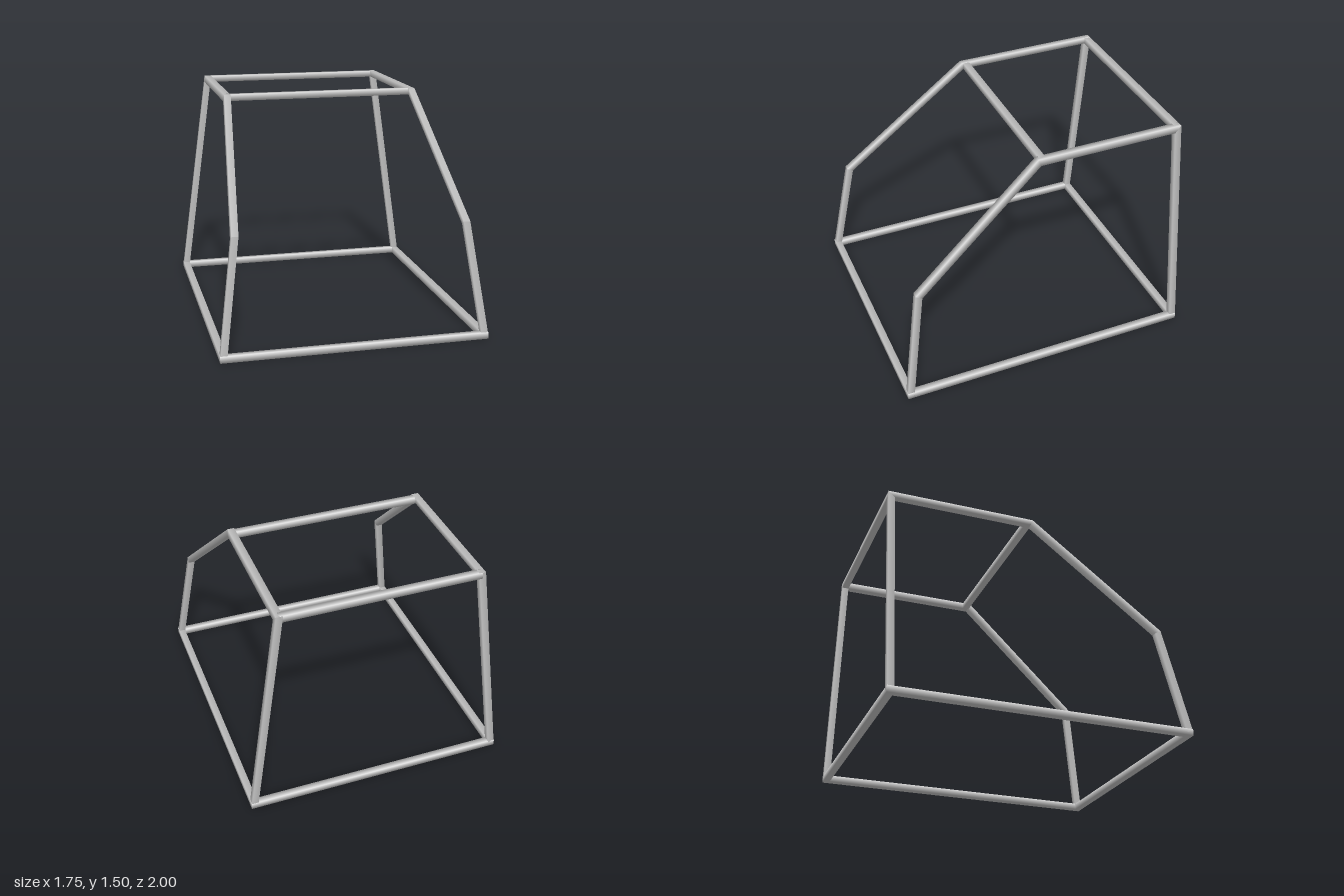
import * as THREE from 'three';

const R = 0.022; // half the thickness of a bar
const CORNERS = [[1, 1], [-1, 1], [-1, -1], [1, -1]];
const material = new THREE.MeshStandardMaterial({ color: 0xcccccc });
const v3 = (x, y, z) => new THREE.Vector3(x, y, z);
const perp = d => new THREE.Vector2(-d.y, d.x);

// Square bars along a flat path, mitred at every bend.
// place(a, b, k) puts path coordinates a, b and the offset k across the path plane into space.
function barRun(name, path, partNames, closed, place) {
  const pts = path.map(p => new THREE.Vector2(...p));
  const n = pts.length, count = closed ? n : n - 1;
  const dir = i => pts[(i + 1) % n].clone().sub(pts[i % n]).normalize();

  // The four corners of the cut at each point
  const rings = pts.map((p, i) => {
    const before = dir(!closed && i === 0 ? 0 : i + n - 1);
    const after = dir(!closed && i === n - 1 ? i - 1 : i);
    const mitre = perp(before.clone().add(after)).normalize();
    mitre.multiplyScalar(R / mitre.dot(perp(after)));
    return CORNERS.map(([m, k]) => place(p.x + m * mitre.x, p.y + m * mitre.y, k * R));
  });

  const group = new THREE.Group();
  group.name = name;
  for (let s = 0; s < count; s++) {
    const p = pts[s], side = perp(dir(s)).multiplyScalar(R);
    const normals = CORNERS.map(([m, k]) =>
      place(p.x + m * side.x, p.y + m * side.y, k * R).sub(place(p.x, p.y, 0)).normalize());
    const idx = [];
    for (let i = 0; i < 4; i++) {
      const j = (i + 1) % 4;
      idx.push(i, i + 4, j, j, i + 4, j + 4);
    }
    const flat = list => new THREE.Float32BufferAttribute(list.flatMap(q => q.toArray()), 3);
    const g = new THREE.BufferGeometry();
    g.setAttribute('position', flat([...rings[s], ...rings[(s + 1) % n]]));
    g.setAttribute('normal', flat([...normals, ...normals]));
    g.setIndex(idx);
    const mesh = new THREE.Mesh(g, material);
    mesh.name = partNames[s];
    group.add(mesh);
  }
  return group;
}

export function createModel() {
  const model = new THREE.Group();
  model.name = 'barFrame';
  const bx = 0.853, bz = 1 - R, tx = 0.65, ty = 1.5 - R;
  const lean = y => bx + (tx - bx) * (y - R) / (ty - R);

  // Rectangular base
  model.add(barRun('baseFrame',
    [[-bx, bz], [bx, bz], [bx, -bz], [-bx, -bz]],
    ['baseFront', 'baseLeft', 'baseRear', 'baseRight'], true,
    (x, z, k) => v3(x, R + k, z)));

  // Side hoops, sheared so they lean inward towards the roof
  for (const [s, name] of [[1, 'leftHoop'], [-1, 'rightHoop']]) {
    model.add(barRun(name,
      [[bz, R], [0.856, 0.752], [0, ty], [-bz, ty], [-bz, R]],
      ['frontPost', 'slopedPillar', 'roofRail', 'rearPost'], false,
      (z, y, k) => v3(s * lean(y) + k, y, z)));
  }

  // Roof cross bars
  for (const [name, z] of [['roofFrontBar', -0.024], ['roofRearBar', -bz]]) {
    model.add(barRun(name, [[-tx, z], [tx, z]], [name], false,
      (x, zz, k) => v3(x, ty + k, zz)));
  }
  return model;
}
